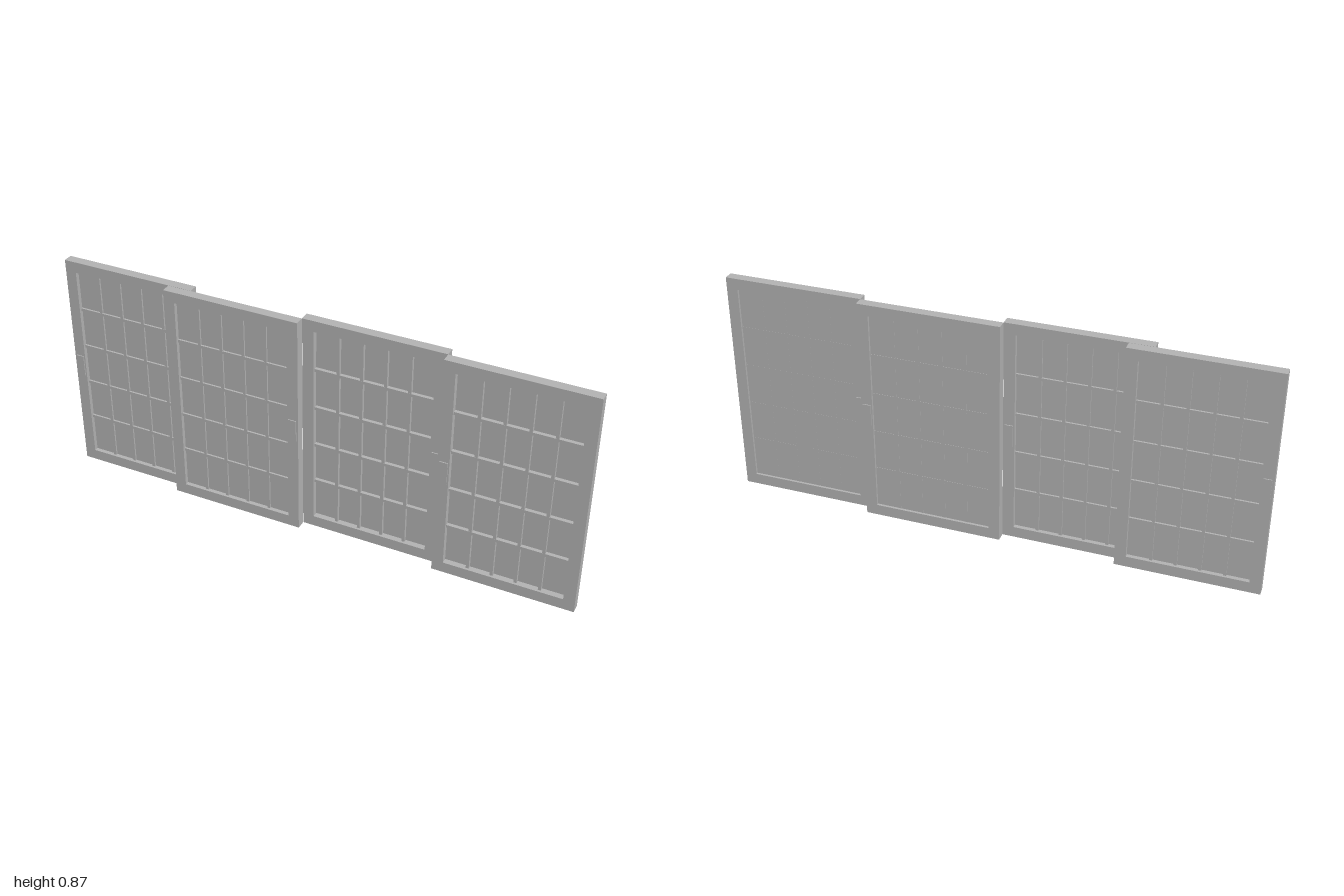
import * as THREE from 'three';

const H = 0.866, D = 0.036, RAIL = 0.042; // door height, depth, frame width
const COLS = 5, ROWS = 5, BAR = 0.011;

export function createModel() {
  const root = new THREE.Group();
  root.name = 'slidingDoors';
  const grey = new THREE.MeshStandardMaterial({ color: 0xb4b4b4 });
  grey.name = 'grey';

  function box(parent, name, w, h, d, x, y, z) {
    const mesh = new THREE.Mesh(new THREE.BoxGeometry(w, h, d), grey);
    mesh.name = name;
    mesh.position.set(x, y, z);
    parent.add(mesh);
  }

  // One door leaf centred on its own x and z
  function door(name, x0, x1, z, paneZ, handleSide) {
    const g = new THREE.Group();
    g.name = name;
    const W = x1 - x0, iw = W - 2 * RAIL, ih = H - 2 * RAIL;

    // Frame with a rectangular opening
    const outline = new THREE.Shape([[-W / 2, 0], [W / 2, 0], [W / 2, H], [-W / 2, H]]
      .map(p => new THREE.Vector2(...p)));
    outline.holes.push(new THREE.Path([[-iw / 2, RAIL], [-iw / 2, H - RAIL], [iw / 2, H - RAIL], [iw / 2, RAIL]]
      .map(p => new THREE.Vector2(...p))));
    const frameGeo = new THREE.ExtrudeGeometry(outline, { depth: D, bevelEnabled: false });
    frameGeo.translate(0, 0, -D / 2);
    const frame = new THREE.Mesh(frameGeo, grey);
    frame.name = 'frame';
    g.add(frame);

    // Pane and glazing bars
    box(g, 'pane', iw, ih, 0.004, 0, H / 2, paneZ);
    for (let i = 1; i < COLS; i++)
      box(g, 'verticalBar', BAR, ih, 0.018, -iw / 2 + iw * i / COLS, H / 2, 0);
    for (let j = 1; j < ROWS; j++)
      box(g, 'horizontalBar', iw, BAR, 0.0184, 0, RAIL + ih * j / ROWS, 0);

    // Slim pull plates on both faces
    for (const s of [-1, 1])
      box(g, 'handle', 0.03, 0.085, 0.005, handleSide * (W / 2 - 0.022), 0.428, s * (D / 2 + 0.0015));

    g.position.set((x0 + x1) / 2, 0, z);
    root.add(g);
  }

  // Leaves alternate between the rear and front tracks
  const track = 0.0185;
  door('rightOuterDoor', -1, -0.478, -track, 0, -1);
  door('rightInnerDoor', -0.567, -0.047, track, 0, 1);
  door('leftInnerDoor', -0.047, 0.477, -track, -0.006, 1);
  door('leftOuterDoor', 0.477, 1, track, -0.0067, -1);
  return root;
}
